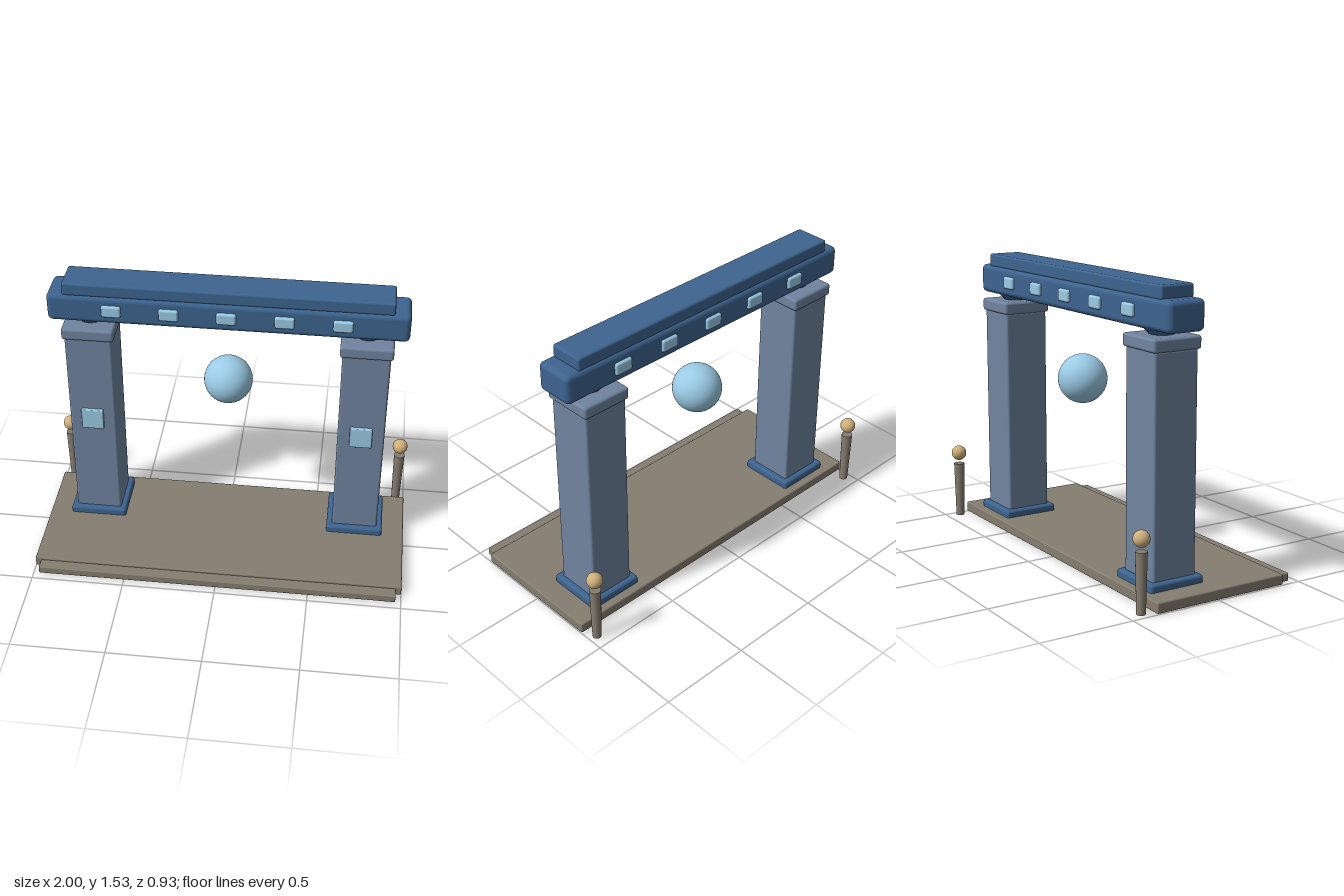
import * as THREE from 'three';
import { RoundedBoxGeometry } from 'three/addons/geometries/RoundedBoxGeometry.js';

const mat = (color) => new THREE.MeshStandardMaterial({ color });

export function createModel() {
  const model = new THREE.Group();
  const stone = mat(0x857d70), pillarBlue = mat(0x70849f), darkBlue = mat(0x3d648f);
  const glow = mat(0x9bcbe6), brass = mat(0xd0b07c), mat2 = mat(0x8a7a58);

  const add = (name, geometry, material, x, y, z) => {
    const mesh = new THREE.Mesh(geometry, material);
    mesh.name = name;
    mesh.position.set(x, y, z);
    model.add(mesh);
    return mesh;
  };
  // Rounded box given by its extents
  const box = (name, material, [x0, x1], [y0, y1], [z0, z1], r = 0.01) =>
    add(name, new RoundedBoxGeometry(x1 - x0, y1 - y0, z1 - z0, 3, r), material,
      (x0 + x1) / 2, (y0 + y1) / 2, (z0 + z1) / 2);

  const Z = -0.16; // depth line of the gate

  // Floor slab, front step and threshold let into the floor
  box('platform', stone, [-1, 1], [0.004, 0.06], [-0.36, 0.4], 0.008);
  box('frontStep', stone, [-0.97, 0.97], [0.004, 0.047], [0.34, 0.46], 0.006);
  box('threshold', mat2, [-0.45, 0.45], [0.002, 0.05], [-0.2, -0.04], 0.005);

  for (const s of [-1, 1]) {
    const x = s * 0.725;
    const span = (w) => [x - w / 2, x + w / 2];
    const depth = (w) => [Z - w / 2, Z + w / 2];

    // Pillar with foot, cap and flared neck
    box('pillarBase', darkBlue, span(0.31), [0.002, 0.1], depth(0.31), 0.015);
    box('pillar', pillarBlue, span(0.25), [0.08, 1.225], depth(0.25), 0.012);
    box('pillarCapital', pillarBlue, span(0.275), [1.22, 1.287], depth(0.275), 0.014);
    add('pillarNeck', new THREE.CylinderGeometry(0.1, 0.05, 0.05, 12), darkBlue, x, 1.3, Z);
    box('pillarPanel', glow, span(0.12), [0.66, 0.78], [-0.045, -0.015], 0.005);

    // Tapered post with a ball on top, behind the floor
    const px = s * 0.955, pz = -0.425;
    add('post', new THREE.CylinderGeometry(0.03, 0.023, 0.31, 20), stone, px, 0.16, pz);
    add('postBall', new THREE.SphereGeometry(0.042, 24, 16), brass, px, 0.377, pz);
  }

  // Lintel and its top rail
  box('lintel', darkBlue, [-0.935, 0.935], [1.315, 1.472], [Z - 0.106, Z + 0.106], 0.028);
  box('topRail', darkBlue, [-0.852, 0.852], [1.465, 1.536], [Z - 0.094, Z + 0.094], 0.012);

  // Lights along the front and back of the lintel
  for (let i = -2; i <= 2; i++) {
    for (const s of [-1, 1]) {
      const z = Z + s * 0.105;
      box('lintelLight', glow, [i * 0.298 - 0.051, i * 0.298 + 0.051], [1.362, 1.428],
        [z - 0.017, z + 0.017], 0.012);
    }
  }

  // Floating orb
  add('orb', new THREE.SphereGeometry(0.13, 48, 32), glow, 0, 0.95, Z);

  return model;
}
